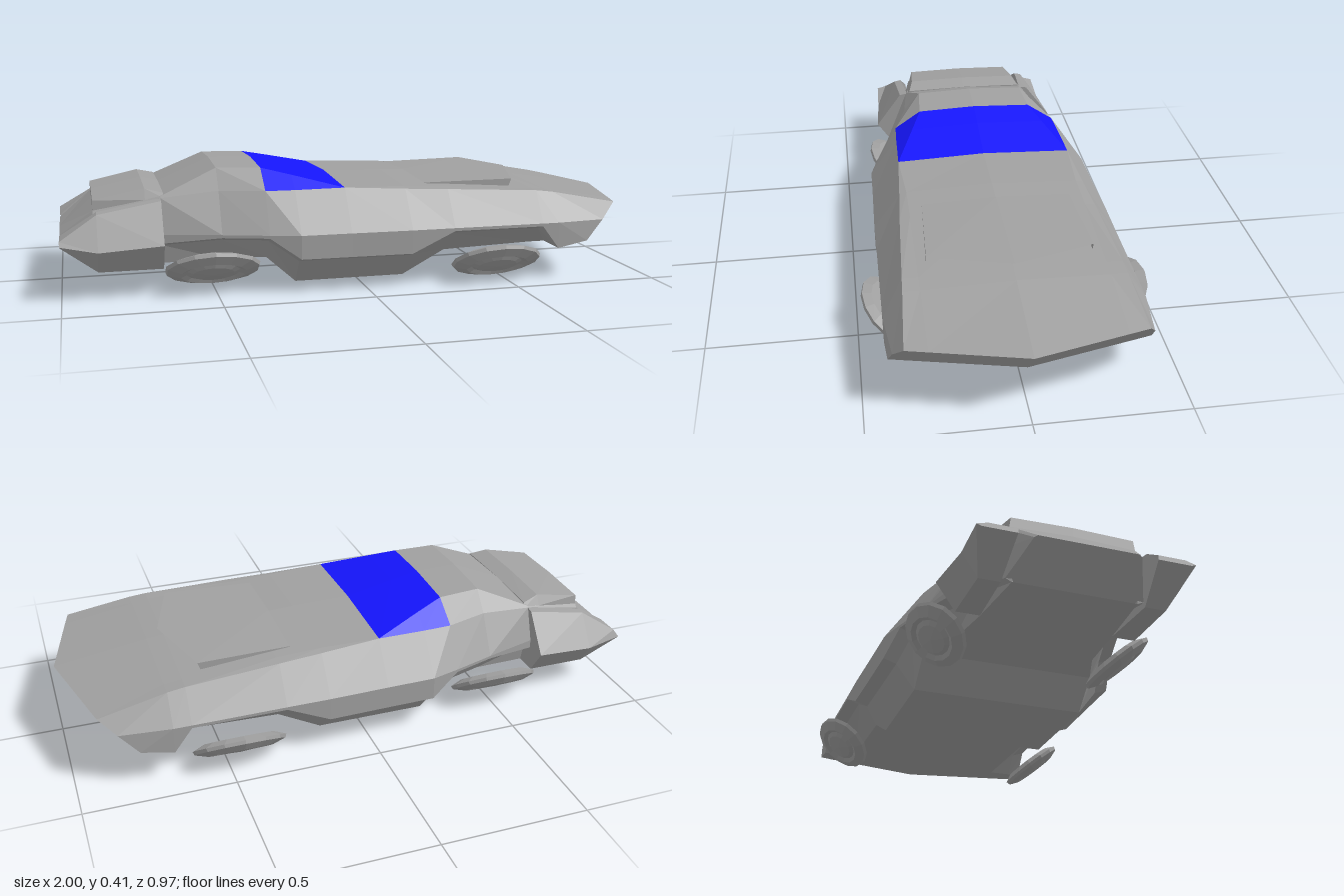
import * as THREE from 'three';

const grey = new THREE.MeshStandardMaterial({ color: 0xa0a0a0, flatShading: true, side: THREE.DoubleSide });
const blue = new THREE.MeshStandardMaterial({ color: 0x1515ff, flatShading: true, side: THREE.DoubleSide });

// Joins rows of [x, y, z] points (top, round the +z side, to the bottom) into faces and mirrors them to -z.
// use(i, j) chooses which panels are included; caps closes the first and last rows.
function shell(name, material, rows, use = () => true, caps = true) {
  const pos = [];
  const tri = (a, b, c) => {
    const [A, B, C] = [a, b, c].map((p) => new THREE.Vector3(...p));
    if (B.clone().sub(A).cross(C.clone().sub(A)).length() < 1e-7) return;
    pos.push(...a, ...b, ...c);
    for (const [x, y, z] of [a, c, b]) pos.push(x, y, -z);
  };
  for (let i = 0; i < rows.length - 1; i++) {
    for (let j = 0; j < rows[i].length - 1; j++) {
      if (!use(i, j)) continue;
      const a = rows[i][j], b = rows[i + 1][j], c = rows[i + 1][j + 1], d = rows[i][j + 1];
      tri(a, d, c);
      tri(a, c, b);
    }
  }
  if (caps) {
    const s = rows[0], e = rows[rows.length - 1];
    for (let j = 1; j < s.length - 1; j++) {
      tri(s[0], s[j + 1], s[j]);
      tri(e[0], e[j], e[j + 1]);
    }
  }
  const geometry = new THREE.BufferGeometry();
  geometry.setAttribute('position', new THREE.Float32BufferAttribute(pos, 3));
  geometry.computeVertexNormals();
  const mesh = new THREE.Mesh(geometry, material);
  mesh.name = name;
  return mesh;
}

// A section at one x, from [y, z] pairs
const at = (x, ...yz) => yz.map(([y, z]) => [x, y, z]);

// A body section: crowned roof, belt line, widest line, upright skirt, ledge under it, and flat floor
function bodySection([x, topY, roofZ, beltY, beltZ, wideZ, skirtY, floorY, floorZ]) {
  const roofY = Math.max(beltY, topY - 0.04 * roofZ);
  const ledgeY = Math.max(floorY, skirtY - 0.015), ledgeZ = Math.max(floorZ, wideZ - 0.045);
  return at(x, [topY, 0], [roofY, roofZ], [beltY, beltZ], [0.2, wideZ],
    [skirtY, wideZ], [ledgeY, ledgeZ], [floorY, floorZ], [floorY, 0]);
}

export function createModel() {
  const car = new THREE.Group();
  car.name = 'wedgeCar';

  // Tail undercut towards the floor
  const tail = [[0.19, 0], [0.19, 0.16], [0.185, 0.17], [0.15, 0.19], [0.1, 0.2], [0.095, 0.195], [0.09, 0.19], [0.09, 0]]
    .map(([y, z]) => [-1 + (0.19 - y) * 1.2, y, z]);
  // Flat nose faces, swept back from the centre and raked back towards the chin
  const nose = [[0.257, 0], [0.256, 0.3], [0.255, 0.37], [0.2, 0.402], [0.13, 0.415], [0.13, 0.37], [0.132, 0.3], [0.14, 0]]
    .map(([y, z]) => [1 - 0.24 * z - (0.257 - y) * 0.87, y, z]);

  // x, top height, roof half-width, belt height and half-width, widest half-width, skirt height, floor height and half-width
  const sections = [
    [-0.89, 0.285, 0.205, 0.265, 0.215, 0.22, 0.1, 0.09, 0.2],
    [-0.67, 0.33, 0.235, 0.315, 0.24, 0.28, 0.17, 0.09, 0.22],
    [-0.48, 0.412, 0.2, 0.335, 0.26, 0.335, 0.19, 0.1, 0.24],
    [-0.33, 0.408, 0.21, 0.335, 0.305, 0.382, 0.19, 0.11, 0.3],
    [-0.23, 0.387, 0.247, 0.335, 0.309, 0.41, 0.12, 0.02, 0.3],
    [-0.06, 0.349, 0.313, 0.337, 0.313, 0.413, 0.12, 0.02, 0.3],
    [0.15, 0.344, 0.3, 0.326, 0.325, 0.418, 0.12, 0.02, 0.3],
    [0.3, 0.337, 0.3, 0.32, 0.335, 0.418, 0.19, 0.1, 0.3],
    [0.62, 0.312, 0.3, 0.305, 0.352, 0.42, 0.19, 0.11, 0.3],
    [0.68, 0.306, 0.3, 0.298, 0.355, 0.42, 0.11, 0.11, 0.3],
  ];
  const body = [tail, ...sections.map(bodySection), nose];
  const isGlass = (i, j) => (i === 4 || i === 5) && j < 2;
  car.add(shell('body', grey, body, (i, j) => !isGlass(i, j)));
  car.add(shell('windshieldAndSideWindows', blue, body, isGlass, false));

  // Raised bonnet panel with side walls and an open, pointed front lip
  car.add(shell('bonnetScoop', grey, [
    at(0.24, [0.342, 0], [0.332, 0.255], [0.322, 0.255]),
    [[0.64, 0.341, 0], [0.56, 0.336, 0.27], [0.55, 0.308, 0.27]],
  ], undefined, false));

  // Raised rear deck
  car.add(shell('rearDeck', grey, [
    at(-0.89, [0.315, 0], [0.31, 0.2], [0.275, 0.205], [0.275, 0]),
    at(-0.72, [0.35, 0], [0.345, 0.21], [0.31, 0.23], [0.31, 0]),
    at(-0.66, [0.335, 0], [0.33, 0.225], [0.315, 0.235], [0.315, 0]),
  ]));

  // Angular pods on both rear corners, as closed rings tapering to a thin end
  const ring = (x, ...yz) => at(x, ...yz, yz[0]);
  car.add(shell('rearPods', grey, [
    ring(-1, [0.2, 0.22], [0.2, 0.31], [0.19, 0.345], [0.185, 0.33], [0.185, 0.22]),
    ring(-0.88, [0.28, 0.25], [0.275, 0.275], [0.165, 0.35], [0.09, 0.3], [0.09, 0.23]),
    ring(-0.67, [0.315, 0.235], [0.31, 0.265], [0.18, 0.362], [0.09, 0.3], [0.09, 0.22]),
  ]));

  // Oval, outward-tilted wheel discs with a raised hub
  const profile = [[0, -0.018], [0.12, -0.018], [0.16, -0.002], [0.155, 0.01], [0.11, 0.024],
    [0.09, 0.016], [0.07, 0.024], [0, 0.028]].map(([r, h]) => new THREE.Vector2(r, h));
  const disc = new THREE.LatheGeometry(profile, 14);
  disc.scale(1, 1, 0.69);
  for (const [name, x, y, z] of [['front', 0.46, 0.076, 0.392], ['rear', -0.51, 0.087, 0.312]]) {
    for (const side of [1, -1]) {
      const wheel = new THREE.Mesh(disc, grey);
      wheel.name = name + (side > 0 ? 'WheelPositiveZ' : 'WheelNegativeZ');
      wheel.position.set(x, y, z * side);
      wheel.rotation.x = 2.485 * side;
      car.add(wheel);
    }
  }
  return car;
}
